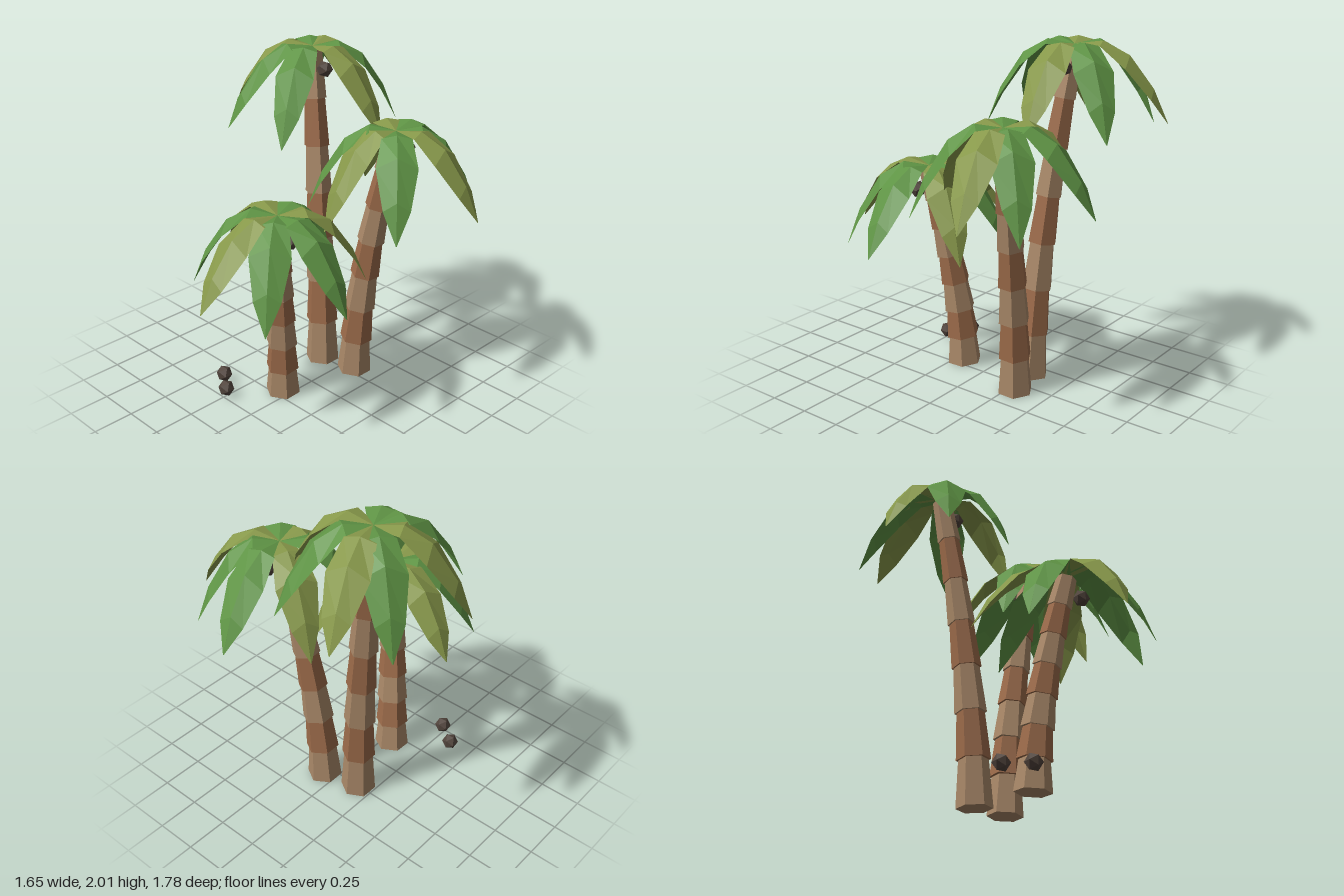
import * as THREE from 'three';

const mat = (color, side = THREE.FrontSide) =>
  new THREE.MeshStandardMaterial({ color, flatShading: true, side });
const barks = [mat(0xa98868), mat(0x9c6b4a)];
const olive = mat(0x87984a, THREE.DoubleSide);
const green = mat(0x5f9445, THREE.DoubleSide);
const nutMat = mat(0x51443c);
const UP = new THREE.Vector3(0, 1, 0);

// Base, crown centre, coconut offset, and frond tips [x, z] in clockwise order
const palms = [
  { name: 'tallPalm', base: [-0.15, -0.245], crown: [-0.36, 1.975, -0.36], nut: [0.1, 0],
    tips: [[-0.83, -0.15], [-0.75, -0.67], [-0.53, -0.875], [-0.06, -0.77], [0.16, -0.4], [-0.15, 0.09], [-0.57, 0.12]] },
  { name: 'middlePalm', base: [0.08, -0.295], crown: [0.3, 1.62, -0.36], nut: [0, -0.1],
    tips: [[0.82, -0.47], [0.64, 0], [0.21, 0.11], [-0.09, -0.06], [-0.14, -0.6], [0.22, -0.89], [0.63, -0.71]] },
  { name: 'shortPalm', base: [-0.055, 0.19], crown: [0.08, 1.255, 0.34], nut: [0.1, 0],
    tips: [[0.065, 0.885], [-0.35, 0.6], [-0.45, 0.19], [-0.06, -0.15], [0.34, -0.1], [0.61, 0.34], [0.39, 0.72]] },
];

// Frond cross-sections: [fraction of length, ridge height, half width, fold depth]
const SECTIONS = [
  [0, 0, 0.025, 0.005], [0.3, 0.025, 0.085, 0.02], [0.58, -0.05, 0.115, 0.06],
  [0.84, -0.235, 0.075, 0.05], [1, -0.43, 0.002, 0.002],
];

// Folded leaf running along +x, drooping to its tip
function frondGeometry(length) {
  const droop = 1 + (0.53 - length) * 3;
  const pos = [], index = [];
  SECTIONS.forEach(([t, y, w, fold], i) => {
    const h = y > 0 ? y : y * droop;
    pos.push(t * length, h - fold, -w, t * length, h, 0, t * length, h - fold, w);
    if (i === 0) return;
    for (let k = 0; k < 2; k++) {
      const a = (i - 1) * 3 + k, b = a + 3;
      index.push(a, a + 1, b, a + 1, b + 1, b);
    }
  });
  const g = new THREE.BufferGeometry();
  g.setAttribute('position', new THREE.Float32BufferAttribute(pos, 3));
  g.setIndex(index);
  g.computeVertexNormals();
  return g;
}

function coconut(x, y, z) {
  const m = new THREE.Mesh(new THREE.IcosahedronGeometry(0.05), nutMat);
  m.name = 'coconut';
  m.position.set(x, y, z);
  return m;
}

// Curved trunk of stacked, tapering hexagonal segments
function trunk(base, crown) {
  const group = new THREE.Group();
  group.name = 'trunk';
  const count = 7, height = crown[1] - 0.02;
  const at = (t) => {
    const f = Math.pow(t, 1.6);
    return new THREE.Vector3(
      base[0] + (crown[0] - base[0]) * f, height * t, base[1] + (crown[2] - base[1]) * f);
  };
  for (let i = 0; i < count; i++) {
    const a = at(i / count), b = at((i + 1) / count);
    const r = 0.105 - 0.04 * (i / count);
    const dir = b.clone().sub(a);
    const m = new THREE.Mesh(
      new THREE.CylinderGeometry(r * 0.82, r, dir.length(), 6), barks[i % 2]);
    m.name = 'trunkSegment';
    m.position.copy(a).add(b).multiplyScalar(0.5);
    m.quaternion.setFromUnitVectors(UP, dir.normalize());
    group.add(m);
  }
  return group;
}

function palm({ name, base, crown, nut, tips }) {
  const group = new THREE.Group();
  group.name = name;
  group.add(trunk(base, crown));
  // Crown of seven fronds
  const leaves = new THREE.Group();
  leaves.name = 'crown';
  leaves.position.set(...crown);
  tips.forEach(([x, z], i) => {
    const dx = x - crown[0], dz = z - crown[2];
    const m = new THREE.Mesh(
      frondGeometry(Math.hypot(dx, dz)), i % 2 === 0 && i < 6 ? olive : green);
    m.name = 'frond';
    m.rotation.y = -Math.atan2(dz, dx);
    leaves.add(m);
  });
  group.add(leaves);
  // Coconut hanging below the crown
  group.add(coconut(crown[0] + nut[0], crown[1] - 0.12, crown[2] + nut[1]));
  return group;
}

export function createModel() {
  const model = new THREE.Group();
  model.name = 'palmTrees';
  palms.forEach((p) => model.add(palm(p)));
  // Fallen coconuts
  model.add(coconut(-0.375, 0.055, 0.385), coconut(-0.245, 0.055, 0.48));
  return model;
}
